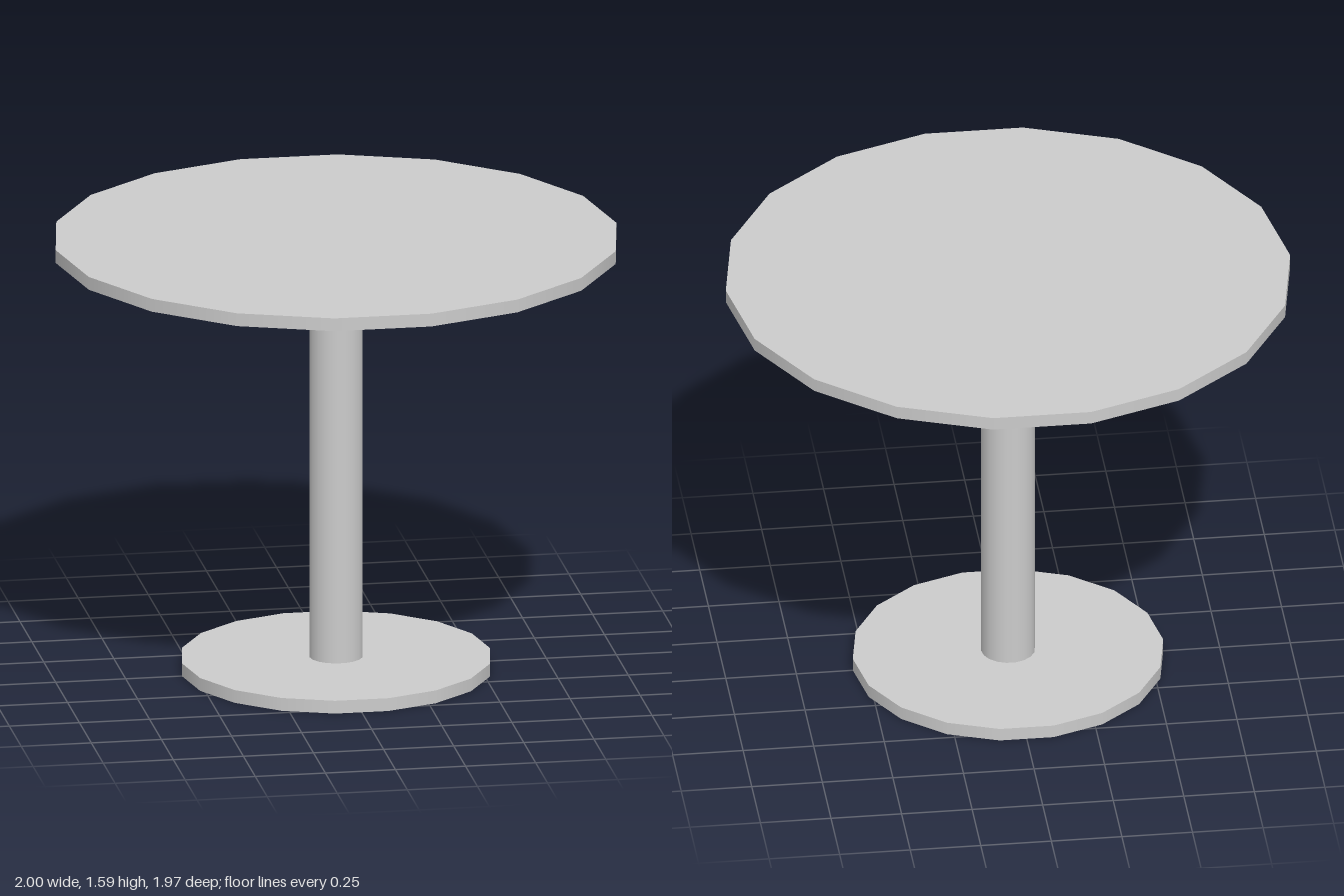
import * as THREE from 'three';

const SIDES = 18;

export function createModel() {
  const table = new THREE.Group();
  table.name = 'pedestalTable';
  const material = new THREE.MeshStandardMaterial({ color: 0xcccccc });

  // Upright round part between two heights, with corners on the x axis
  function addDisc(name, radius, bottom, top) {
    const geometry = new THREE.CylinderGeometry(
      radius, radius, top - bottom, SIDES, 1, false, Math.PI / 2);
    const mesh = new THREE.Mesh(geometry, material);
    mesh.name = name;
    mesh.position.y = (bottom + top) / 2;
    table.add(mesh);
  }

  addDisc('base', 0.55, 0, 0.047);
  addDisc('column', 0.095, 0.047, 1.54);
  addDisc('tableTop', 1, 1.54, 1.587);

  return table;
}
